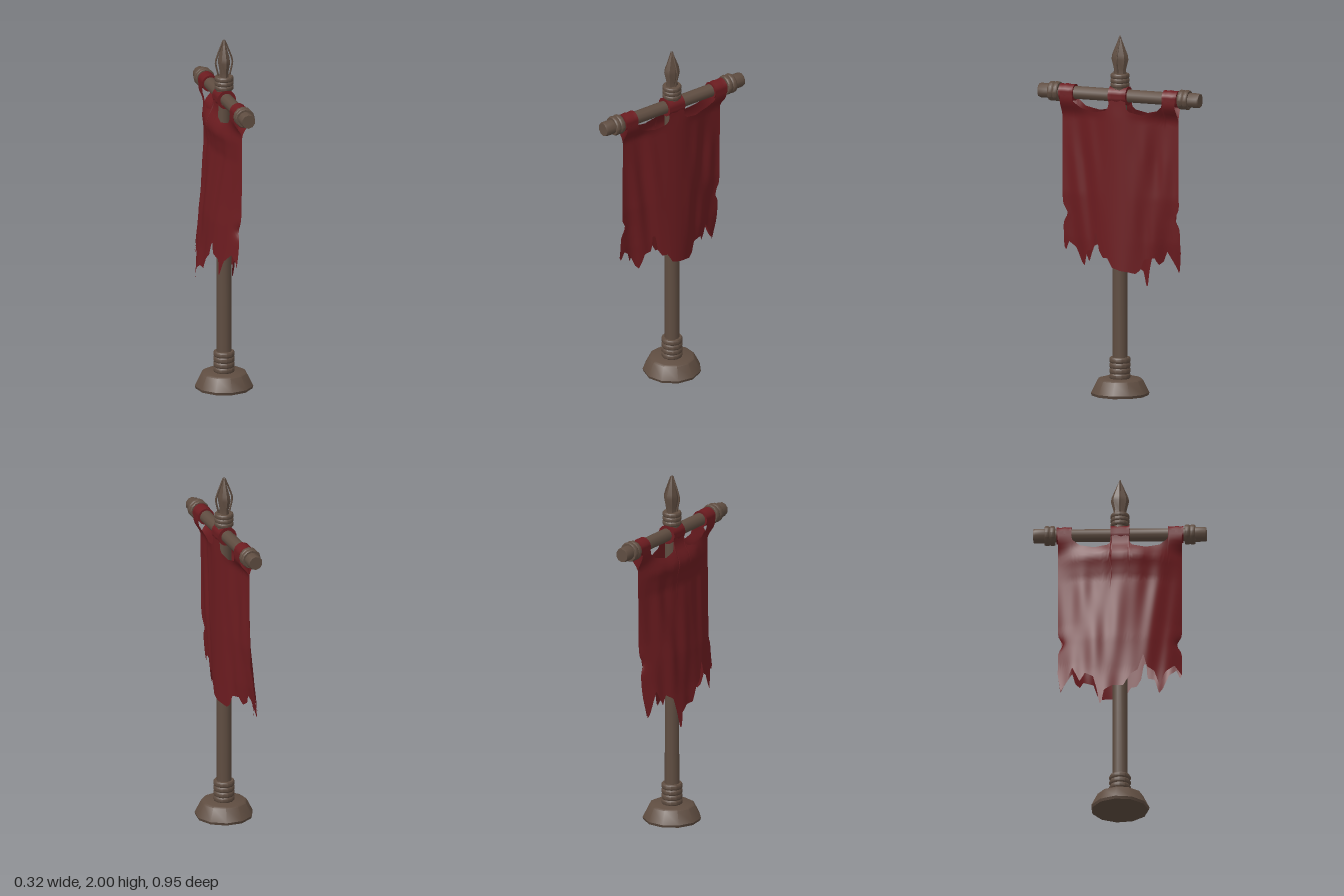
import * as THREE from 'three';
import { toCreasedNormals } from 'three/addons/utils/BufferGeometryUtils.js';

const wood = new THREE.MeshStandardMaterial({ color: 0x5f4d41 });
wood.name = 'weathered wood';
const cloth = new THREE.MeshStandardMaterial({ color: 0x6c1c20, side: THREE.DoubleSide });
cloth.name = 'red cloth';

function add(parent, name, geometry, material) {
  const mesh = new THREE.Mesh(geometry, material);
  mesh.name = name;
  parent.add(mesh);
  return mesh;
}

// Turned part from [radius, height] pairs, with crisp edges
function turned(points, sides, crease = 0.7) {
  const profile = points.map(([r, y]) => new THREE.Vector2(r, y));
  return toCreasedNormals(new THREE.LatheGeometry(profile, sides), crease);
}

// Stack of tight wraps between two heights
function wraps(y0, y1, r, count) {
  const pts = [[0, y0]];
  const h = (y1 - y0) / count;
  for (let i = 0; i < count; i++) {
    const y = y0 + i * h;
    pts.push([r * 0.92, y], [r, y + h * 0.25], [r, y + h * 0.75], [r * 0.92, y + h]);
  }
  pts.push([0, y1]);
  return turned(pts, 12);
}

// Linear lookup in sorted [position, value] pairs
function lookup(table, t) {
  for (let i = 1; i < table.length; i++) {
    if (t <= table[i][0]) {
      const [a, va] = table[i - 1], [b, vb] = table[i];
      return va + (vb - va) * Math.max(0, (t - a) / (b - a));
    }
  }
  return table[table.length - 1][1];
}

// Upper hem: hangs from three straps and sags between them
const hem = [[-0.34, 1.67], [-0.27, 1.67], [-0.262, 1.62], [-0.22, 1.585], [-0.14, 1.565],
  [-0.07, 1.58], [-0.052, 1.6], [-0.047, 1.67], [0.047, 1.67], [0.052, 1.6], [0.07, 1.58],
  [0.14, 1.565], [0.22, 1.585], [0.262, 1.62], [0.27, 1.67], [0.34, 1.67]];

// Torn lower edges, height against z
const frontTear = [[-0.34, 0.8], [-0.325, 0.68], [-0.31, 0.72], [-0.26, 0.81], [-0.245, 0.75],
  [-0.22, 0.73], [-0.2, 0.77], [-0.145, 0.76], [-0.125, 0.7], [-0.1, 0.68], [-0.06, 0.69],
  [-0.02, 0.695], [0.03, 0.71], [0.06, 0.76], [0.09, 0.76], [0.115, 0.8], [0.13, 0.89],
  [0.145, 0.89], [0.15, 0.8], [0.19, 0.79], [0.215, 0.7], [0.235, 0.72], [0.27, 0.8],
  [0.31, 0.83], [0.33, 0.78], [0.34, 0.8]];
const backTear = [[-0.34, 0.8], [-0.325, 0.69], [-0.305, 0.72], [-0.26, 0.83], [-0.22, 0.74],
  [-0.19, 0.79], [-0.145, 0.76], [-0.125, 0.68], [-0.11, 0.59], [-0.1, 0.59], [-0.085, 0.67],
  [-0.04, 0.7], [0.02, 0.7], [0.06, 0.77], [0.1, 0.8], [0.13, 0.9], [0.15, 0.82],
  [0.19, 0.8], [0.22, 0.71], [0.25, 0.8], [0.3, 0.85], [0.34, 0.8]];

// How far the back sheet billows at mid width, against height
const billow = [[0.58, -0.14], [0.8, -0.118], [1.0, -0.108], [1.2, -0.085], [1.38, -0.065],
  [1.45, -0.075], [1.5, -0.088], [1.55, -0.078], [1.62, -0.055], [1.7, -0.05]];

// Where the two sheets meet at each side edge, against height
const edgePlus = [[0.68, -0.042], [0.85, -0.02], [1.1, 0], [1.7, 0.004]];
const edgeMinus = [[0.68, -0.07], [0.85, -0.04], [1.1, -0.018], [1.7, -0.012]];

const across = z => Math.min(1, Math.abs(z) / 0.34);
const edgeX = (z, y) => {
  const k = (z / 0.34 + 1) / 2;
  return lookup(edgePlus, y) * k + lookup(edgeMinus, y) * (1 - k);
};

// Broad folds sweeping from the outer straps down towards the middle, flat at the side edges
function folds(z, y) {
  const drop = Math.min(1, Math.max(0, (1.64 - y) * 3));
  const out = Math.sqrt(z * z + 0.0025);
  return drop * (1 - across(z) ** 4)
    * (0.007 * Math.sin(out * 42 + (1.6 - y) * 7) + 0.003 * Math.sin(z * 60 - y * 6));
}

// The sheets spread apart where they hang from the straps
const strapX = (x, side, y) => THREE.MathUtils.lerp(x, side, THREE.MathUtils.smoothstep(y, 1.53, 1.63));
const frontX = (z, y) => {
  const e = edgeX(z, y), c = Math.cos(across(z) * Math.PI / 2) ** 2;
  return strapX(e + (0.047 - e) * c + folds(z, y) * (1 - c * c), 0.045, y);
};
const backX = (z, y) => {
  const e = edgeX(z, y);
  return strapX(e + (lookup(billow, y) - e) * (1 - across(z) ** 2.3) + folds(z, y) * 0.6, -0.046, y);
};

// Hanging sheet with a torn edge and a small rip pinching both sides;
// dir runs its columns so that the outside faces out
function sheet(xAt, tear, dir) {
  const cols = 160, rows = 40, pos = [], index = [];
  for (let i = 0; i <= cols; i++) {
    const z = dir * (0.68 * i / cols - 0.34);
    const top = lookup(hem, z), low = lookup(tear, z);
    for (let j = 0; j <= rows; j++) {
      const y = top + (low - top) * j / rows;
      const rip = 0.08 * Math.exp(-(((y - 0.99) / 0.035) ** 2)) * across(z) ** 10;
      pos.push(xAt(z, y), y, z * (1 - rip));
      if (i < cols && j < rows) {
        const a = i * (rows + 1) + j, b = a + rows + 1;
        index.push(a, a + 1, b, b, a + 1, b + 1);
      }
    }
  }
  const g = new THREE.BufferGeometry();
  g.setAttribute('position', new THREE.Float32BufferAttribute(pos, 3));
  g.setIndex(index);
  g.computeVertexNormals();
  return g;
}

export function createModel() {
  const model = new THREE.Group();
  model.name = 'bannerStand';

  // Base and pole
  add(model, 'base', turned([[0, 0], [0.157, 0], [0.162, 0.015], [0.127, 0.085], [0.115, 0.092], [0, 0.092]], 11, 0.6), wood);
  add(model, 'poleFootWraps', wraps(0.09, 0.21, 0.059, 4), wood);
  add(model, 'pole', turned([[0, 0.08], [0.042, 0.08], [0.04, 1.74], [0, 1.74]], 10), wood);
  add(model, 'poleTopWraps', wraps(1.71, 1.785, 0.053, 3), wood);

  // Spear point with a bent rib on each side
  const spear = new THREE.Group();
  spear.name = 'spearPoint';
  model.add(spear);
  const blade = add(spear, 'spearBlade',
    turned([[0, 1.77], [0.038, 1.78], [0.036, 1.81], [0.05, 1.865], [0.046, 1.89], [0, 2]], 8, 0.5), wood);
  blade.scale.x = 0.68;
  for (const s of [-1, 1]) {
    const path = new THREE.CatmullRomCurve3([[0.032, 1.79], [0.039, 1.82], [0.048, 1.865], [0.043, 1.89], [0.004, 1.99]]
      .map(([x, y]) => new THREE.Vector3(s * x, y, 0)));
    add(spear, 'spearRib', new THREE.TubeGeometry(path, 14, 0.005, 6), wood);
  }

  // Crossbar along z, with wraps near both ends
  const bar = new THREE.Group();
  bar.name = 'crossbarAssembly';
  bar.position.y = 1.663;
  bar.rotation.x = Math.PI / 2;
  model.add(bar);
  add(bar, 'crossbar', turned([[0, -0.475], [0.038, -0.475], [0.041, -0.465], [0.041, -0.4], [0.036, -0.36],
    [0.036, 0.36], [0.041, 0.4], [0.041, 0.465], [0.038, 0.475], [0, 0.475]], 10, 0.8), wood);
  for (const s of [-1, 1]) add(bar, 'crossbarWraps', wraps(s * 0.384 - 0.029, s * 0.384 + 0.029, 0.055, 2), wood);

  // Cloth straps looped over the crossbar
  for (const [centre, half, r] of [[-0.306, 0.042, 0.047], [0, 0.052, 0.053], [0.306, 0.042, 0.047]]) {
    const loop = [[0.036, -half], [r, -half], [r - 0.003, -half * 0.4], [r + 0.001, half * 0.1],
      [r - 0.002, half * 0.6], [r, half], [0.036, half]].map(([a, b]) => [a, b + centre]);
    add(bar, 'strap', turned(loop, 18, 1), cloth);
  }

  // Two hanging sheets around the pole, meeting at the side edges
  add(model, 'frontSheet', sheet(frontX, frontTear, -1), cloth);
  add(model, 'backSheet', sheet(backX, backTear, 1), cloth);

  return model;
}
